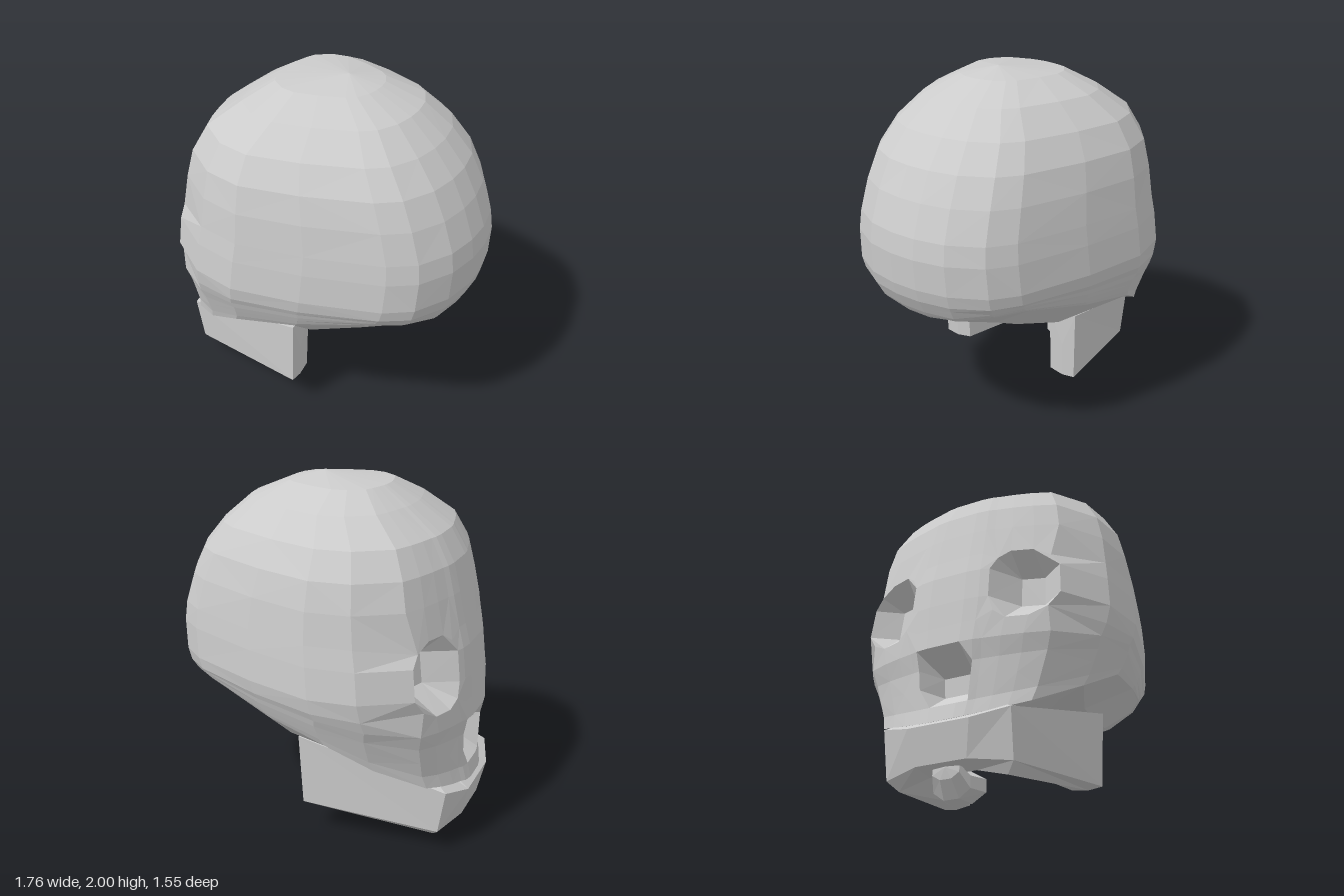
import * as THREE from 'three';

const bone = new THREE.MeshStandardMaterial({ color: 0xcccccc, flatShading: true });

// Piecewise linear lookup in a table of [key, value] pairs
function lookup(table, v) {
  if (v <= table[0][0]) return table[0][1];
  for (let i = 1; i < table.length; i++) {
    const [a, p] = table[i - 1], [b, q] = table[i];
    if (v <= b) return p + ((q - p) * (v - a)) / (b - a);
  }
  return table[table.length - 1][1];
}

// Joins closed rings of equal length; each end is closed on a centre point
function loft(name, rings, startPoint, endPoint) {
  const n = rings[0].length;
  const all = [Array(n).fill(startPoint), ...rings, Array(n).fill(endPoint)];
  const pos = [];
  const tri = (a, b, c) => {
    if (a !== b && b !== c && a !== c) pos.push(...a, ...b, ...c);
  };
  for (let i = 0; i < all.length - 1; i++) {
    for (let j = 0; j < n; j++) {
      const k = (j + 1) % n;
      const a = all[i][j], b = all[i][k], c = all[i + 1][k], d = all[i + 1][j];
      if ((i + j) % 2) { tri(a, b, c); tri(a, c, d); }
      else { tri(a, b, d); tri(b, c, d); }
    }
  }
  const geo = new THREE.BufferGeometry();
  geo.setAttribute('position', new THREE.Float32BufferAttribute(pos, 3));
  geo.computeVertexNormals();
  const mesh = new THREE.Mesh(geo, bone);
  mesh.name = name;
  return mesh;
}

// Half outline seen from above: fraction of length from the face, fraction of half width
const outline = [
  [0, 0], [0, 0.13], [0.006, 0.23], [0.015, 0.29], [0.03, 0.42], [0.052, 0.57], [0.085, 0.735],
  [0.23, 0.945], [0.38, 1], [0.6, 0.89], [0.84, 0.7], [0.92, 0.57], [0.98, 0.33], [1, 0.1],
];

// Height, face x, back x, half width
const levels = [
  [0.4, -0.86, 0.77, 0.775], [0.47, -0.84, 0.79, 0.775], [0.57, -0.84, 0.81, 0.775],
  [0.67, -0.84, 0.825, 0.775], [0.77, -0.86, 0.84, 0.775], [0.87, -0.85, 0.855, 0.775],
  [1.0, -0.84, 0.875, 0.775], [1.17, -0.82, 0.885, 0.76], [1.28, -0.79, 0.87, 0.745],
  [1.45, -0.75, 0.81, 0.725], [1.6, -0.71, 0.735, 0.69], [1.74, -0.63, 0.62, 0.61],
  [1.87, -0.45, 0.47, 0.46], [1.96, -0.3, 0.26, 0.27],
];

// Lower edge of the side walls, and the underside, by x
const rim = [[-0.87, 0.35], [-0.78, 0.4], [-0.6, 0.5], [-0.35, 0.65], [-0.2, 0.73], [0.2, 0.79], [0.5, 0.87], [0.64, 0.86], [0.77, 0.8]];
const under = [[-0.8, 0.38], [-0.35, 0.58], [0.05, 0.58], [0.76, 0.8]];

function craniumPoint(row, col) {
  const [level, xf, xb, w] = levels[row];
  const [u, v] = outline[col];
  let x = xf + (xb - xf) * u, y = level, z = w * v;
  // The lower levels follow the slope of the rim and draw in towards the jaw
  if (level < 0.95) {
    const drop = (0.95 - lookup(rim, x)) / 0.55, s = (0.95 - level) / 0.55;
    y = 0.95 - (0.95 - level) * drop;
    z *= 1 - 0.28 * s * drop;
  }
  // Eye sockets: sunken centre, trimmed corners
  if (row >= 5 && row <= 8 && col >= 3 && col <= 6) {
    const rowEdge = row === 5 || row === 8, colEdge = col === 3 || col === 6;
    if (!rowEdge && !colEdge) x += 0.15;
    else if (rowEdge && colEdge) {
      x += (-0.79 - x) * 0.22;
      y += (1.08 - y) * 0.22;
      z += (0.39 - z) * 0.22;
    }
  }
  // Nose opening
  if ((row === 2 || row === 3) && col <= 1) x += 0.15;
  return [x, y, z];
}

function cranium() {
  const rings = levels.map((_, row) => {
    const half = outline.map((_, col) => craniumPoint(row, col));
    const other = half.slice(1).reverse().map(([x, y, z]) => [x, y, -z]);
    return [...half, ...other];
  });
  // Underside ring inside the rim
  const base = rings[0].map(([x, , z]) => [x * 0.75, lookup(under, x * 0.75), z * 0.68]);
  return loft('cranium', [base, ...rings], [0.05, 0.575, 0], [0.08, 2, 0]);
}

// U-shaped lower jaw; each section is outer bottom, outer top, inner top, inner bottom, lower ridge
function lowerJaw() {
  const left = [
    [[-0.01, 0.2, 0.48], [0.01, 0.615, 0.49], [0, 0.6, 0.31], [-0.02, 0.2, 0.31], [-0.01, 0.19, 0.4]],
    [[-0.77, 0.13, 0.35], [-0.81, 0.385, 0.355], [-0.55, 0.53, 0.2], [-0.58, 0.21, 0.17], [-0.73, 0.08, 0.3]],
    [[-0.84, 0.15, 0.14], [-0.88, 0.335, 0.17], [-0.6, 0.53, 0.12], [-0.62, 0.22, 0.12], [-0.72, 0.13, 0.13]],
  ];
  const right = left.map((s) => s.map(([x, y, z]) => [x, y, -z])).reverse();
  return loft('lowerJaw', [...left, ...right], [0, 0.4, 0.4], [0, 0.4, -0.4]);
}

// Small faceted knob under the chin
function chinKnob() {
  const ring = (x, y, ry, rz) => Array.from({ length: 8 }, (_, i) => {
    const a = ((i + 0.5) / 8) * Math.PI * 2;
    return [x, y + ry * Math.sin(a), -rz * Math.cos(a)];
  });
  return loft('chinKnob',
    [ring(-0.79, 0.13, 0.05, 0.08), ring(-0.73, 0.075, 0.08, 0.11), ring(-0.625, 0.08, 0.085, 0.14)],
    [-0.8, 0.14, 0], [-0.62, 0.08, 0]);
}

export function createModel() {
  const group = new THREE.Group();
  group.name = 'skull';
  group.add(cranium(), lowerJaw(), chinKnob());
  return group;
}
